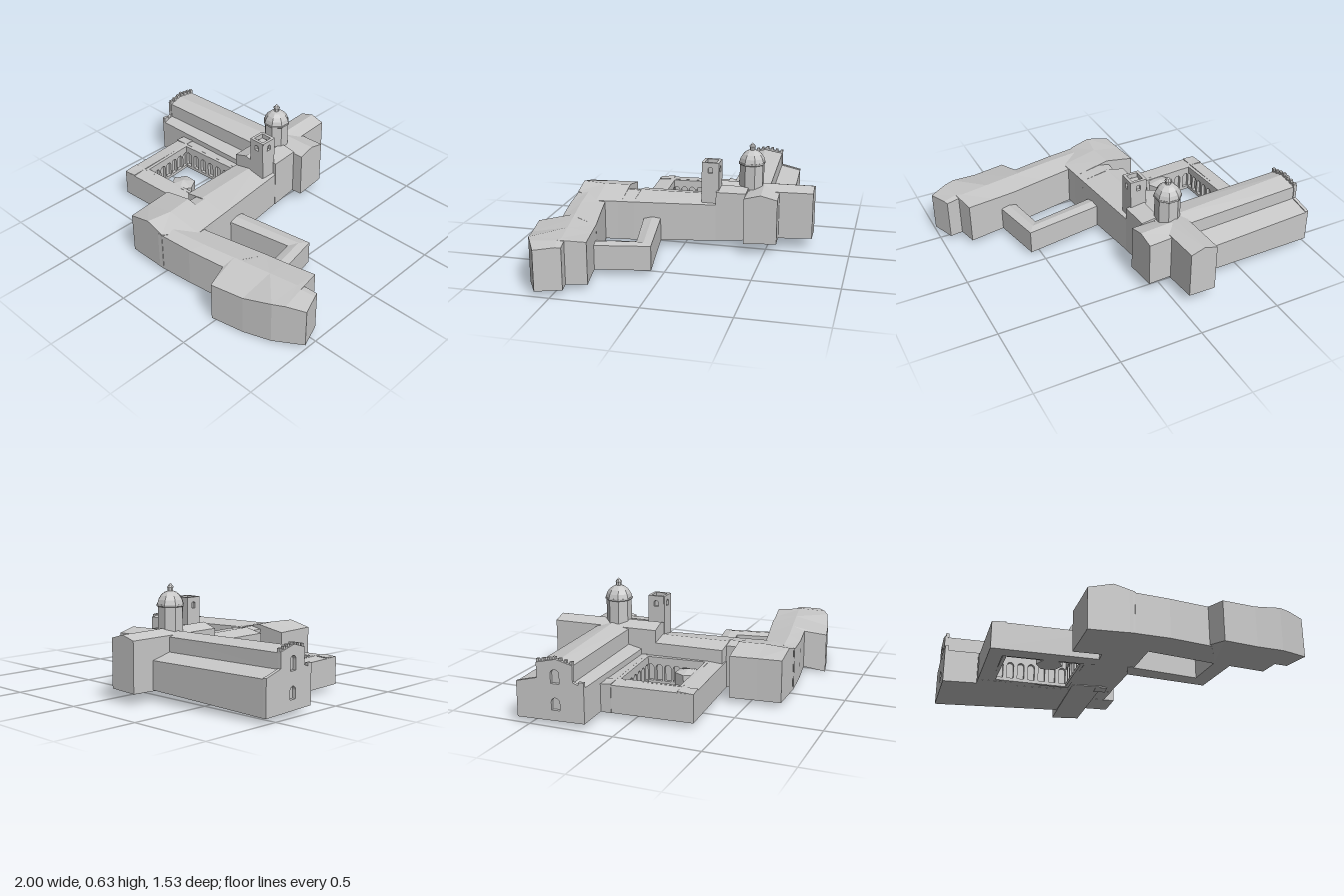
import * as THREE from 'three';

const stone = new THREE.MeshStandardMaterial({ color: 0xc8c8c8 });
stone.name = 'pale stone';
const clamp = THREE.MathUtils.clamp;

// Faceted mesh: every face gets its own normal
function facet(name, geometry) {
  const g = geometry.index ? geometry.toNonIndexed() : geometry;
  g.computeVertexNormals();
  const mesh = new THREE.Mesh(g, stone);
  mesh.name = name;
  return mesh;
}

// Sloping site: higher behind on the right, lower at the front right
function ground(x, z) {
  const rise = 0.045 * clamp((x + 0.9) / 0.9, 0, 1) * clamp(-z / 0.5, 0, 1);
  const dip = 0.03 * clamp((x - 0.43) / 0.04, 0, 1) * clamp((z - 0.45) / 0.2, 0, 1) * clamp((1 - x) / 0.3, 0, 1);
  return 0.03 + rise - dip;
}

// Loft a building along stations [a, b, roof]: a and b are plan points [x, z] of the two
// long walls, roof is a list of [t, y] from a (t = 0) to b (t = 1)
function wing(name, stations) {
  const rings = stations.map(([a, b, roof]) => [[0, null], ...roof, [1, null]].map(([t, y]) => {
    const x = a[0] + (b[0] - a[0]) * t, z = a[1] + (b[1] - a[1]) * t;
    return new THREE.Vector3(x, y === null ? ground(x, z) : y, z);
  }));
  const n = rings[0].length, tris = [];
  for (let s = 0; s < rings.length - 1; s++) {
    for (let i = 0; i < n; i++) {
      const j = (i + 1) % n, p = rings[s], q = rings[s + 1];
      tris.push([p[i], p[j], q[j]], [p[i], q[j], q[i]]);
    }
  }
  // End caps, wound against the neighbouring sides
  const cap = (ring, roof, flip) => {
    const outline = [[0, 0], ...roof, [1, 0]].map(([t, y]) => new THREE.Vector2(t, y));
    for (const [i, j, k] of THREE.ShapeUtils.triangulateShape(outline, [])) {
      const e1 = outline[j].clone().sub(outline[i]), e2 = outline[k].clone().sub(outline[i]);
      const clockwise = e1.cross(e2) < 0;
      tris.push(clockwise !== flip ? [ring[i], ring[k], ring[j]] : [ring[i], ring[j], ring[k]]);
    }
  };
  cap(rings[0], stations[0][2], false);
  cap(rings.at(-1), stations.at(-1)[2], true);
  // Turn the solid outward if its volume comes out negative
  const volume = tris.reduce((v, [a, b, c]) => v + a.dot(b.clone().cross(c)), 0);
  if (volume < 0) tris.forEach(t => t.reverse());
  return facet(name, new THREE.BufferGeometry().setFromPoints(tris.flat()));
}

const gable = (eaveA, ridge, eaveB, t = 0.5) => [[0, eaveA], [t, ridge], [1, eaveB]];
const flat = (y0, y1) => [[0, y0], [1, y1]];

// Round-headed opening centred on u, from y0 to y1
function arch(u, w, y0, y1) {
  const r = w / 2, p = new THREE.Path();
  p.moveTo(u - r, y0);
  p.lineTo(u + r, y0);
  p.lineTo(u + r, y1 - r);
  p.absarc(u, y1 - r, r, 0, Math.PI, false);
  p.lineTo(u - r, y0);
  return p;
}

// Upright wall from plan point p to q with arched openings; thickens to the right of p -> q
function wall(name, p, q, outline, openings, depth) {
  const dx = q[0] - p[0], dz = q[1] - p[1], len = Math.hypot(dx, dz);
  const shape = new THREE.Shape(outline.map(([t, y]) => new THREE.Vector2(t * len, y)));
  shape.holes = openings.map(([t, w, y0, y1]) => arch(t * len, w, y0, y1));
  const mesh = facet(name, new THREE.ExtrudeGeometry(shape, { depth, bevelEnabled: false, curveSegments: 6 }));
  mesh.position.set(p[0], 0, p[1]);
  mesh.rotation.y = Math.atan2(-dz, dx);
  return mesh;
}

function makeChurch() {
  const g = new THREE.Group();
  g.name = 'church';
  const basilica = (r, k1, k2, k3) => [[0, 0.23], [k1, 0.26], [k1 + 0.001, 0.345], [k2, r], [k3, 0.345], [k3 + 0.001, 0.25], [1, 0.23]];
  g.add(wing('nave and aisles', [
    [[-0.98, -0.576], [-0.95, -0.181], basilica(0.368, 0.32, 0.62, 0.83)],
    [[-0.18, -0.622], [-0.18, -0.2], basilica(0.368, 0.31, 0.53, 0.8)],
  ]));
  // West front with two windows and a row of crest pinnacles
  const p = [-0.98, -0.576], q = [-0.95, -0.181];
  g.add(wall('west front', p, q,
    [[0, 0.03], [1, 0.03], [1, 0.262], [0.92, 0.262], [0.92, 0.245], [0.84, 0.258], [0.84, 0.352], [0.6, 0.378], [0.31, 0.352], [0.31, 0.265], [0, 0.235]],
    [[0.58, 0.05, 0.24, 0.32], [0.58, 0.05, 0.09, 0.16]], 0.02));
  for (let i = 0; i < 7; i++) {
    const t = 0.33 + i * 0.082;
    const pin = facet('crest pinnacle', new THREE.BoxGeometry(0.018, 0.03, 0.016));
    pin.position.set(p[0] + (q[0] - p[0]) * t - 0.004, 0.375 - Math.abs(t - 0.58) * 0.08, p[1] + (q[1] - p[1]) * t);
    g.add(pin);
  }
  g.add(wing('transept', [
    [[-0.225, -0.765], [-0.055, -0.77], gable(0.355, 0.38, 0.355)],
    [[-0.2, -0.11], [-0.02, -0.11], gable(0.352, 0.382, 0.352)],
  ]));
  g.add(wing('choir', [
    [[-0.1, -0.565], [-0.1, -0.37], gable(0.348, 0.375, 0.348)],
    [[0.1, -0.578], [0.11, -0.38], gable(0.345, 0.37, 0.345)],
  ]));
  g.add(wing('side chapel', [
    [[-0.06, -0.38], [0.045, -0.38], flat(0.37, 0.355)],
    [[-0.06, -0.2], [0.055, -0.2], flat(0.37, 0.355)],
  ]));
  return g;
}

function makeDome() {
  const g = new THREE.Group();
  g.name = 'dome';
  const turned = (name, profile) => facet(name,
    new THREE.LatheGeometry(profile.map(([r, y]) => new THREE.Vector2(r, y)), 8, Math.PI / 8));
  g.add(turned('drum', [[0, 0.3], [0.076, 0.3], [0.076, 0.5], [0.083, 0.505], [0.083, 0.515], [0, 0.515]]));
  g.add(turned('cupola', [[0.08, 0.515], [0.073, 0.54], [0.058, 0.563], [0.037, 0.58], [0.016, 0.588], [0, 0.589]]));
  g.add(turned('lantern', [[0.017, 0.58], [0.017, 0.607], [0.021, 0.609], [0.008, 0.625], [0, 0.633]]));
  g.position.set(-0.115, 0, -0.387);
  return g;
}

function makeTower() {
  const g = new THREE.Group();
  g.name = 'bell tower';
  const shaft = facet('shaft', new THREE.BoxGeometry(0.07, 0.46, 0.07));
  shaft.position.set(-0.02, 0.27, -0.16);
  g.add(shaft);
  // Four walls standing above the shaft, open to the sky
  for (let i = 0; i < 4; i++) {
    const side = new THREE.Group();
    side.name = 'tower side';
    side.add(wall('tower wall', [-0.05, 0.035], [0.05, 0.035],
      [[0, 0.1], [1, 0.1], [1, 0.53], [0, 0.53]], [[0.5, 0.028, 0.465, 0.502]], 0.0175));
    side.position.set(-0.02, 0, -0.16);
    side.rotation.y = i * Math.PI / 2;
    g.add(side);
  }
  return g;
}

function makeCloister() {
  const g = new THREE.Group();
  g.name = 'west cloister';
  const top = flat(0.193, 0.2);
  const gallery = (name, a0, b0, a1, b1) => g.add(wing(name, [[a0, b0, top], [a1, b1, top]]));
  gallery('west gallery', [-0.77, -0.175], [-0.686, -0.19], [-0.736, 0.35], [-0.656, 0.345]);
  gallery('south gallery', [-0.736, 0.35], [-0.74, 0.256], [-0.125, 0.315], [-0.13, 0.23]);
  gallery('north gallery', [-0.77, -0.2], [-0.77, -0.123], [-0.18, -0.23], [-0.18, -0.164]);
  gallery('east gallery', [-0.17, -0.16], [-0.221, -0.16], [-0.17, 0.25], [-0.188, 0.25]);
  // Arcades facing the court
  const court = [[-0.685, -0.128], [-0.221, -0.161], [-0.189, 0.23], [-0.655, 0.256]];
  court.forEach((p, i) => {
    const openings = [];
    for (let k = 0; k < 7; k++) openings.push([0.09 + k * 0.82 / 6, 0.04, 0.055, 0.155]);
    g.add(wall('arcade', p, court[(i + 1) % 4], [[0, 0.035], [1, 0.035], [1, 0.2], [0, 0.2]], openings, 0.02));
  });
  // Six-sided fountain house against the south arcade
  const house = facet('fountain house', new THREE.CylinderGeometry(0.077, 0.077, 0.16, 6, 1, false, Math.PI / 6));
  house.position.set(-0.385, 0.11, 0.178);
  const cap = facet('fountain house roof', new THREE.ConeGeometry(0.077, 0.02, 6, 1, false, Math.PI / 6));
  cap.position.set(-0.385, 0.2, 0.178);
  g.add(house, cap);
  return g;
}

function makeWings() {
  const g = new THREE.Group();
  g.name = 'monastery wings';
  g.add(wing('south wing', [
    [[-0.2, -0.21], [0.052, -0.21], gable(0.275, 0.3, 0.275, 0.43)],
    [[-0.19, 0.31], [0.106, 0.31], gable(0.275, 0.3, 0.272, 0.4)],
  ]));
  g.add(wing('link', [
    [[-0.12, 0.3], [0.105, 0.3], gable(0.285, 0.3, 0.272, 0.3)],
    [[-0.12, 0.4], [0.115, 0.4], gable(0.285, 0.3, 0.272, 0.3)],
  ]));
  g.add(wing('corner pavilion', [
    [[-0.288, 0.39], [0.112, 0.375], gable(0.28, 0.315, 0.272, 0.45)],
    [[-0.272, 0.55], [0.13, 0.53], gable(0.28, 0.315, 0.272, 0.45)],
    [[-0.26, 0.692], [0.0, 0.692], gable(0.28, 0.315, 0.28, 0.55)],
  ]));
  g.add(wing('southeast wing', [
    [[0.1, 0.48], [-0.03, 0.694], gable(0.265, 0.286, 0.275, 0.65)],
    [[0.32, 0.435], [0.2, 0.67], gable(0.265, 0.286, 0.268, 0.65)],
    [[0.54, 0.388], [0.44, 0.63], gable(0.265, 0.286, 0.262, 0.65)],
  ]));
  g.add(wing('east pavilion', [
    [[0.45, 0.43], [0.43, 0.63], gable(0.265, 0.286, 0.262, 0.6)],
    [[0.53, 0.39], [0.472, 0.762], gable(0.265, 0.286, 0.24, 0.4)],
    [[0.67, 0.368], [0.67, 0.722], gable(0.268, 0.286, 0.243, 0.4)],
    [[0.843, 0.338], [0.835, 0.675], gable(0.275, 0.286, 0.275, 0.42)],
    [[0.87, 0.455], [0.9, 0.64], gable(0.28, 0.286, 0.278, 0.2)],
    [[0.947, 0.443], [1, 0.585], gable(0.272, 0.275, 0.265, 0.2)],
  ]));
  // Low range around the east court
  const low = gable(0.175, 0.183, 0.17);
  g.add(wing('east court range', [
    [[0.08, 0.135], [0.06, 0.245], low],
    [[0.565, 0.06], [0.49, 0.165], low],
    [[0.632, 0.4], [0.53, 0.41], low],
  ]));
  return g;
}

export function createModel() {
  const model = new THREE.Group();
  model.name = 'monastery';
  model.add(makeChurch(), makeDome(), makeTower(), makeCloister(), makeWings());
  return model;
}
